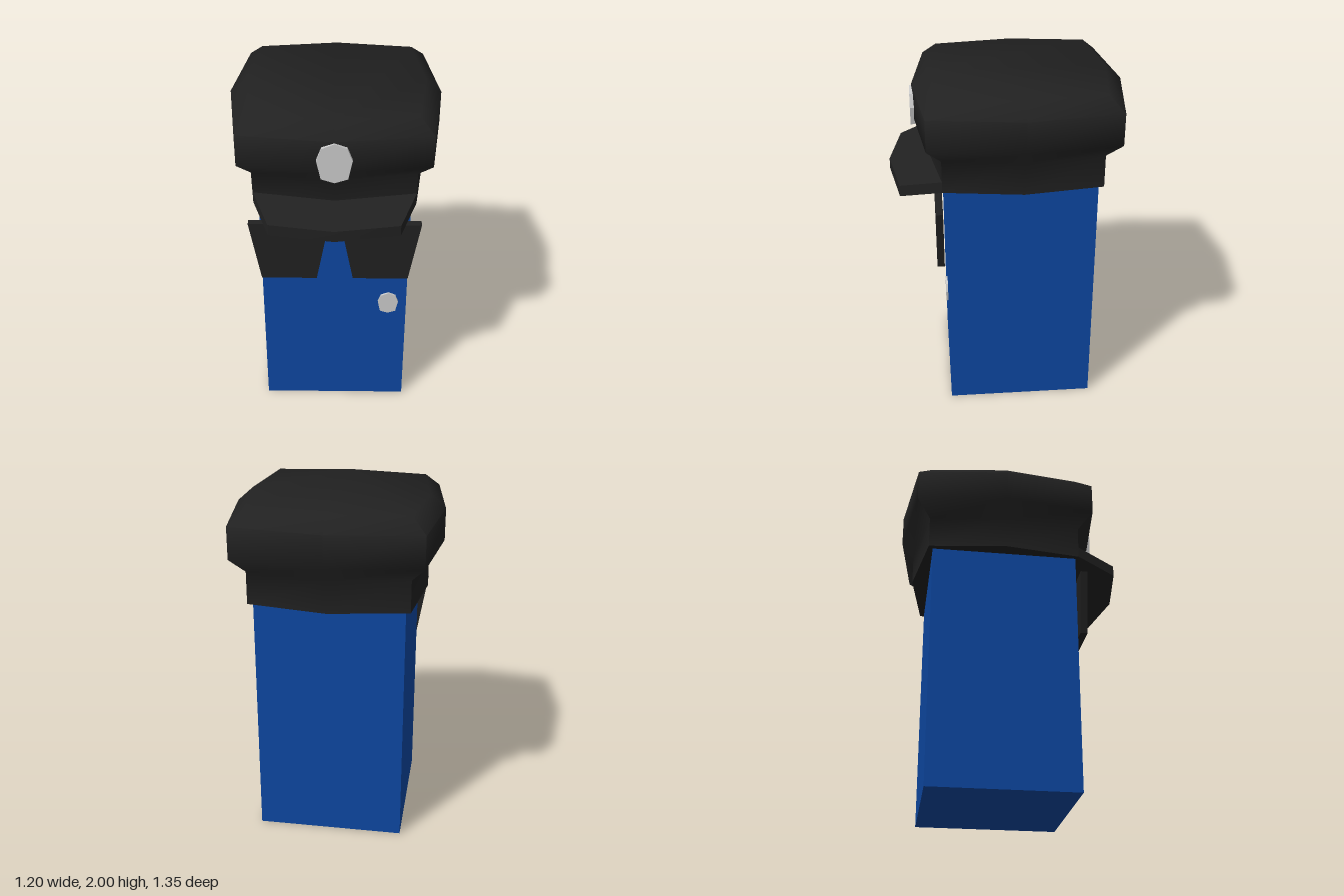
import * as THREE from 'three';
import { toCreasedNormals } from 'three/addons/utils/BufferGeometryUtils.js';

const blue = new THREE.MeshStandardMaterial({ color: 0x0d47a1 });
const black = new THREE.MeshStandardMaterial({ color: 0x212121 });
const grey = new THREE.MeshStandardMaterial({ color: 0xcccccc });
const CENTRE_Z = -0.075;

// Closed solid through rings of equal point count, listed bottom to top,
// each ring running anticlockwise as seen from above.
function loft(rings, crease) {
  const n = rings[0].length;
  const index = [];
  for (let r = 0; r < rings.length - 1; r++) {
    for (let i = 0; i < n; i++) {
      const a = r * n + i, b = r * n + (i + 1) % n;
      index.push(a, b, b + n, a, b + n, a + n);
    }
  }
  const top = (rings.length - 1) * n;
  for (let i = 1; i < n - 1; i++) {
    index.push(0, i + 1, i, top, top + i, top + i + 1);
  }
  const geometry = new THREE.BufferGeometry();
  geometry.setAttribute('position', new THREE.Float32BufferAttribute(rings.flat(2), 3));
  geometry.setIndex(index);
  return toCreasedNormals(geometry, crease);
}

// Square ring whose four sides bow outwards at their middles
function bowedRing(y, cornerX, midX, cornerZ, midZ) {
  return [
    [0, midZ], [cornerX, cornerZ], [midX, 0], [cornerX, -cornerZ],
    [0, -midZ], [-cornerX, -cornerZ], [-midX, 0], [-cornerX, cornerZ],
  ].map(([x, z]) => [x, y, z + CENTRE_Z]);
}

// Flat plate cut from an outline
function plate(points, depth) {
  const shape = new THREE.Shape(points.map(([x, y]) => new THREE.Vector2(x, y)));
  return new THREE.ExtrudeGeometry(shape, { depth, bevelEnabled: false });
}

export function createModel() {
  const model = new THREE.Group();
  model.name = 'cappedBlockFigure';
  const add = (name, geometry, material, x = 0, y = 0, z = 0) => {
    const mesh = new THREE.Mesh(geometry, material);
    mesh.name = name;
    mesh.position.set(x, y, z);
    model.add(mesh);
  };

  // Body block
  add('body', new THREE.BoxGeometry(0.855, 1.46, 0.86), blue, 0, 0.73, -0.07);

  // Cap: upright band flaring into a wide crown with a bevelled top
  add('cap', loft([
    bowedRing(1.455, 0.455, 0.515, 0.45, 0.525),
    bowedRing(1.645, 0.455, 0.515, 0.45, 0.525),
    bowedRing(1.735, 0.53, 0.6, 0.53, 0.6),
    bowedRing(1.92, 0.53, 0.6, 0.53, 0.6),
    bowedRing(2, 0.45, 0.51, 0.45, 0.51),
  ], 0.86), black);

  // Visor: sloping slab with a pointed front edge
  const visorRing = (drop) => [
    [-0.455, 1.52 - drop, 0.375], [-0.36, 1.46 - drop, 0.61], [0, 1.46 - drop, 0.672],
    [0.36, 1.46 - drop, 0.61], [0.455, 1.52 - drop, 0.375], [0, 1.52 - drop, 0.435],
  ];
  const visorBottom = visorRing(0.065), visorTop = visorRing(0);
  // Start each ring at the front point so the end caps fan cleanly
  const fromFront = (ring) => [...ring.slice(2), ...ring.slice(0, 2)];
  add('visor', loft([fromFront(visorBottom), fromFront(visorTop)], 0.5), black);

  // Glasses: one plate with two tapered lenses and a bridge
  add('glasses', plate([
    [-0.49, 1.335], [-0.425, 0.96], [-0.105, 0.96], [-0.05, 1.25],
    [0.05, 1.25], [0.105, 0.96], [0.425, 0.96], [0.49, 1.335],
  ], 0.042), black, 0, 0, 0.375);

  // Badges: the same eight-sided plate in two sizes
  const badge = (s) => plate([
    [0, 0.117], [-0.069, 0.088], [-0.096, 0.015], [-0.073, -0.094],
    [0, -0.118], [0.073, -0.094], [0.096, 0.015], [0.069, 0.088],
  ].map(([x, y]) => [x * s, y * s]), 0.025 * s);
  add('capBadge', badge(1), grey, 0, 1.798, 0.511);
  add('chestBadge', badge(0.63), grey, 0.318, 0.74, 0.356);

  return model;
}
